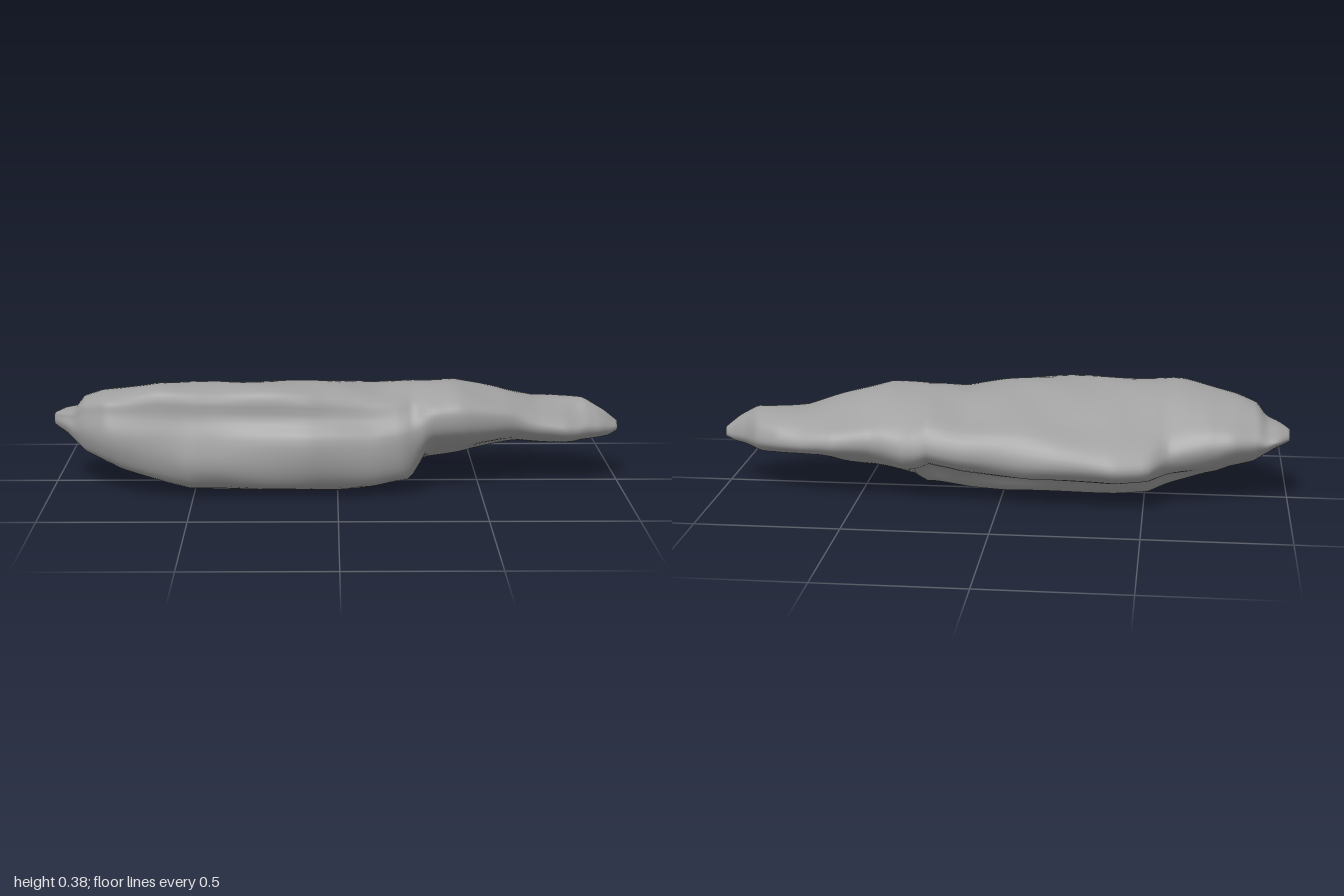
import * as THREE from 'three';

// Outline of the rock along x, as [x, value] pairs
const TOP = [[-1, .25], [-.97, .265], [-.92, .28], [-.89, .32], [-.82, .345], [-.62, .383], [-.2, .383], [0, .375],
  [.13, .36], [.41, .373], [.57, .335], [.7, .3], [.88, .29], [.95, .25], [1, .21]];
const BOTTOM = [[-1, .21], [-.95, .19], [-.88, .13], [-.79, .1], [-.75, .08], [-.51, .006], [0, .003], [.12, .01],
  [.27, .035], [.31, .07], [.52, .11], [.63, .13], [.84, .14], [.97, .16], [1, .175]];
const BACK = [[-1, -.05], [-.96, -.11], [-.8, -.16], [-.58, -.185], [-.52, -.25], [-.4, -.288], [-.05, -.275],
  [.3, -.26], [.45, -.225], [.57, -.24], [.78, -.2], [.86, -.165], [.91, -.11], [.97, -.065], [1, -.05]];
const FRONT = [[-1, .02], [-.96, .08], [-.88, .16], [-.8, .215], [-.66, .245], [-.5, .272], [-.1, .282], [.14, .25],
  [.23, .23], [.27, .205], [.43, .2], [.64, .135], [.8, .12], [.93, .05], [1, -.015]];

// Cross-sections in the unit square (back to front, bottom to top), from the top back edge over the top
const BLUNT = [[.2, .79], [.45, .96], [.7, 1], [.9, .93], [.95, .75], [1, .5], [.97, .27], [.87, .06], [.62, 0],
  [.4, .05], [.22, .15], [.08, .28], [0, .48], [.06, .66]];
const WINGED = [[.24, .7], [.5, .93], [.72, 1], [.89, .94], [.92, .74], [.97, .55], [1, .28], [.92, .09], [.68, 0],
  [.41, .02], [.27, .2], [.08, .27], [0, .39], [.06, .53]];
const KEELED = [[.24, .8], [.5, .96], [.72, 1], [.885, .94], [.915, .72], [1, .57], [1, .27], [.91, .08], [.68, 0],
  [.41, .02], [.27, .22], [.08, .29], [0, .44], [.06, .66]];
const KEEL_END = [[.2, .86], [.43, .98], [.65, 1], [.84, .9], [.92, .75], [1, .58], [1, .26], [.92, .08], [.68, 0],
  [.42, .03], [.27, .25], [.08, .38], [0, .52], [.05, .73]];
const SLAB = [[.15, .72], [.41, .94], [.64, 1], [.87, .9], [.98, .78], [1, .63], [.965, .45], [.85, .29], [.59, .1],
  [.41, 0], [.22, .08], [.08, .21], [0, .38], [.03, .57]];
const TIP = [[.12, .8], [.31, .97], [.53, 1], [.75, .75], [.9, .62], [1, .47], [.98, .29], [.82, .12], [.6, 0],
  [.4, 0], [.22, .05], [.09, .15], [0, .32], [.02, .55]];
const SECTIONS = [[-1, BLUNT], [-.72, BLUNT], [-.52, WINGED], [-.4, WINGED], [-.1, KEELED], [.25, KEEL_END],
  [.32, SLAB], [.6, SLAB], [.84, TIP], [1, TIP]];

const RINGS = 110, SIDES = 56;

function locate(keys, x) {
  let i = 0;
  while (i < keys.length - 2 && x > keys[i + 1][0]) i++;
  const t = THREE.MathUtils.clamp((x - keys[i][0]) / (keys[i + 1][0] - keys[i][0]), 0, 1);
  return [keys[i][1], keys[i + 1][1], t];
}
const outline = (keys, x) => THREE.MathUtils.lerp(...locate(keys, x));

// Smooth closed loop through a blend of the two nearest cross-sections
function sectionAt(x) {
  const [a, b, t] = locate(SECTIONS, x);
  const points = a.map(([u, v], k) => new THREE.Vector3(
    THREE.MathUtils.lerp(u, b[k][0], t), THREE.MathUtils.lerp(v, b[k][1], t), 0));
  return new THREE.CatmullRomCurve3(points, true, 'centripetal');
}

// Shallow weathering, stretched along the length
const weather = (x, y, z) =>
  Math.sin(9 * x + 19 * z + 1) * Math.sin(23 * y + 6 * x) * .6 + Math.sin(17 * x - 31 * z + 14 * y) * .4;

function rockGeometry() {
  const positions = [], index = [];
  for (let i = 0; i <= RINGS; i++) {
    const s = i / RINGS * 2 - 1;
    const x = .6 * s + .4 * Math.sin(s * Math.PI / 2); // closer rings at both ends
    const top = outline(TOP, x), bottom = outline(BOTTOM, x);
    const back = outline(BACK, x), front = outline(FRONT, x);
    const curve = sectionAt(x);
    for (let j = 0; j < SIDES; j++) {
      const p = curve.getPoint(j / SIDES);
      let z = THREE.MathUtils.lerp(back, front, p.x);
      let y = THREE.MathUtils.lerp(bottom, top, p.y);
      const bump = .005 * weather(x, y, z) * Math.min(1, (1 - Math.abs(x)) * 6);
      z += bump * (p.x - .5) * 2;
      y += bump * (p.y - .5) * 2;
      positions.push(x, Math.max(0, y), z);
    }
  }
  for (let i = 0; i < RINGS; i++) for (let j = 0; j < SIDES; j++) {
    const k = (j + 1) % SIDES;
    const a = i * SIDES + j, b = i * SIDES + k, c = b + SIDES, d = a + SIDES;
    index.push(a, b, c, a, c, d);
  }
  // Close both ends with a fan
  for (const [ring, sign] of [[0, -1], [RINGS, 1]]) {
    const centre = positions.length / 3, start = ring * SIDES;
    positions.push(sign, (outline(TOP, sign) + outline(BOTTOM, sign)) / 2,
      (outline(BACK, sign) + outline(FRONT, sign)) / 2);
    for (let j = 0; j < SIDES; j++) {
      const a = start + j, b = start + (j + 1) % SIDES;
      index.push(...(sign > 0 ? [a, b, centre] : [b, a, centre]));
    }
  }
  const geometry = new THREE.BufferGeometry();
  geometry.setAttribute('position', new THREE.Float32BufferAttribute(positions, 3));
  geometry.setIndex(index);
  geometry.computeVertexNormals();
  return geometry;
}

export function createModel() {
  const group = new THREE.Group();
  group.name = 'rock';
  const body = new THREE.Mesh(rockGeometry(), new THREE.MeshStandardMaterial({ color: 0xa0a0a0 }));
  body.name = 'rockBody';
  group.add(body);
  return group;
}
